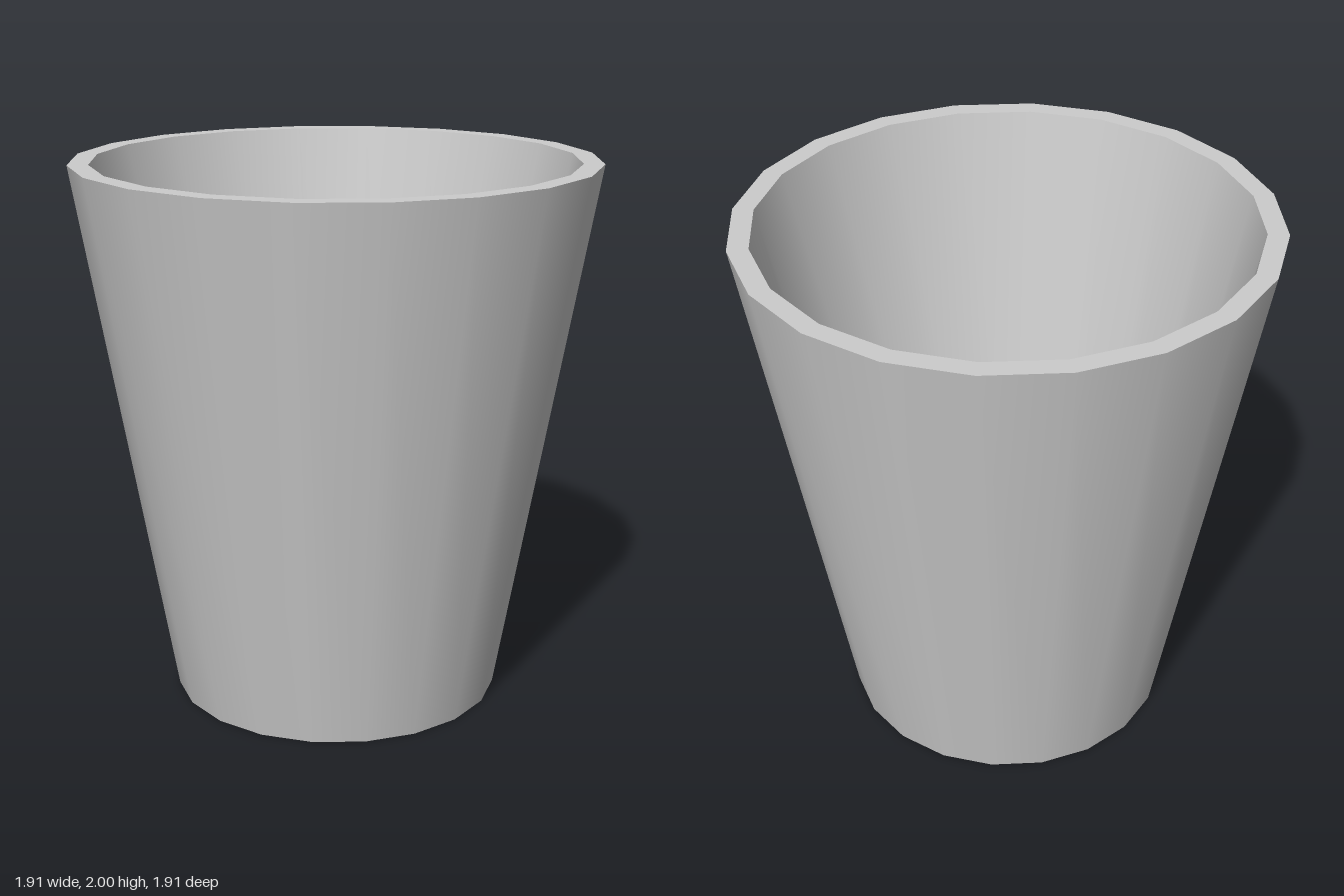
import * as THREE from 'three';

const SIDES = 20;
const HEIGHT = 2;
const FLOOR = 0.1;
const OUTER = { bottom: 0.61, top: 0.955 };
const INNER = { bottom: 0.505, top: 0.88 };

export function createModel() {
  const cup = new THREE.Group();
  cup.name = 'cup';
  const material = new THREE.MeshStandardMaterial({ color: 0xcccccc });

  const add = (name, geometry, y = 0) => {
    const mesh = new THREE.Mesh(geometry, material);
    mesh.name = name;
    mesh.position.y = y;
    cup.add(mesh);
  };
  // Smooth wall: a rising profile faces outward, a falling one inward
  const wall = (r0, y0, r1, y1) =>
    new THREE.LatheGeometry([new THREE.Vector2(r0, y0), new THREE.Vector2(r1, y1)], SIDES);
  const disc = (radius, tilt) => new THREE.CircleGeometry(radius, SIDES).rotateX(tilt);

  // Tapered outside and inside walls
  add('outerWall', wall(OUTER.bottom, 0, OUTER.top, HEIGHT));
  add('innerWall', wall(INNER.top, HEIGHT, INNER.bottom, FLOOR));

  // Flat rim joining the walls
  add('rim', new THREE.RingGeometry(INNER.top, OUTER.top, SIDES).rotateX(-Math.PI / 2), HEIGHT);

  // Floor inside and base underneath
  add('floor', disc(INNER.bottom, -Math.PI / 2), FLOOR);
  add('base', disc(OUTER.bottom, Math.PI / 2));

  return cup;
}
